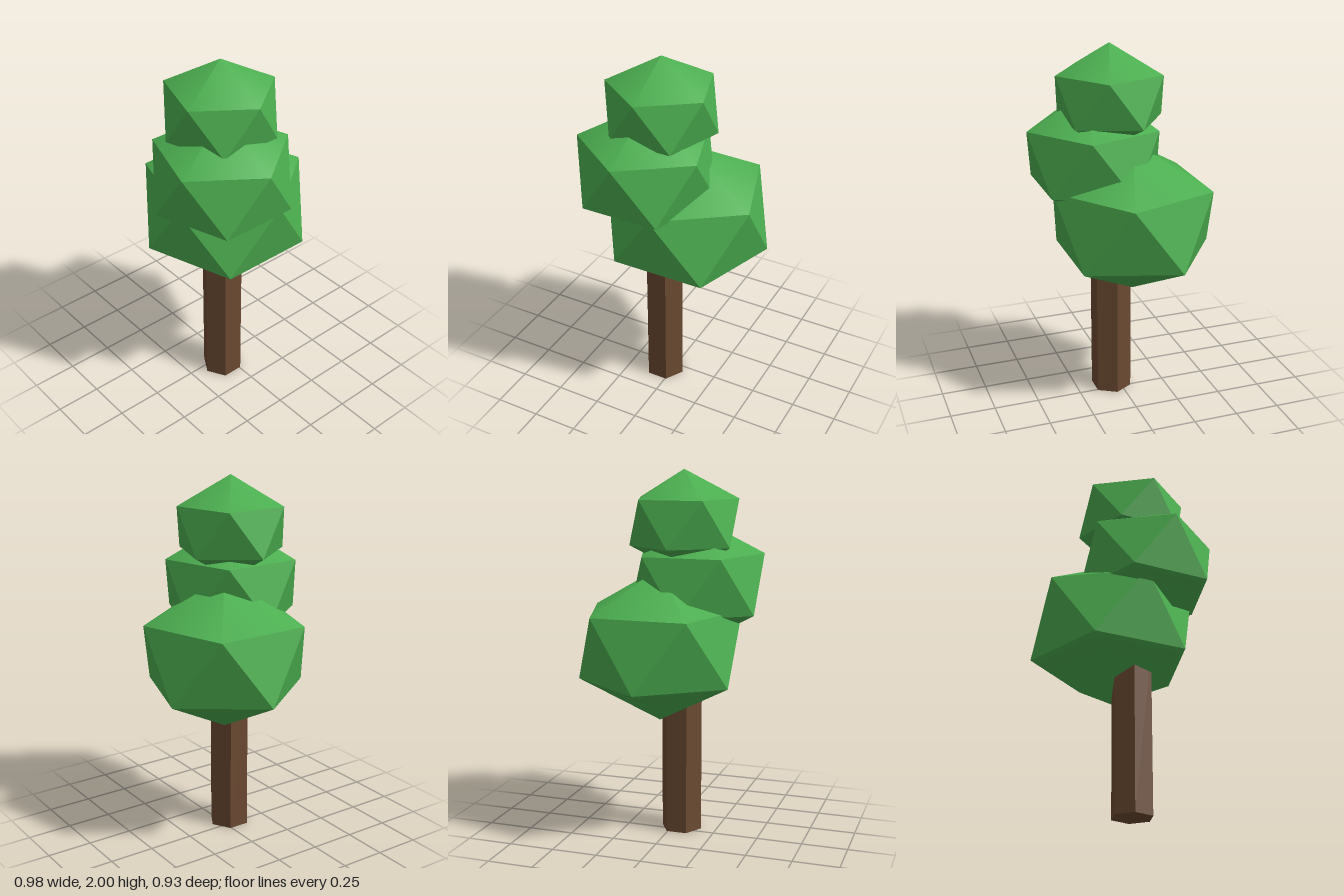
import * as THREE from 'three';
import { toCreasedNormals } from 'three/addons/utils/BufferGeometryUtils.js';

// Flattened icosahedron standing on one vertex: two offset five-sided rings and two tips.
// Creasing at 40 degrees keeps the side facets sharp and the shallow caps smooth.
function crownGeometry(ringRadius) {
  const squash = 0.85;
  const tipY = ringRadius * Math.sqrt(5) / 2 * squash;
  const ringY = ringRadius / 2 * squash;
  const ring = (y, offset) => Array.from({ length: 5 }, (_, i) => {
    const a = (i + offset) * Math.PI * 2 / 5;
    return [ringRadius * Math.cos(a), y, ringRadius * Math.sin(a)];
  });
  const upper = ring(ringY, 0);
  const lower = ring(-ringY, 0.5);
  const top = [0, tipY, 0];
  const bottom = [0, -tipY, 0];

  const corners = [];
  for (let i = 0; i < 5; i++) {
    const j = (i + 1) % 5;
    corners.push(
      top, upper[j], upper[i],
      upper[i], upper[j], lower[i],
      upper[j], lower[j], lower[i],
      bottom, lower[i], lower[j],
    );
  }
  const geometry = new THREE.BufferGeometry();
  geometry.setAttribute('position', new THREE.Float32BufferAttribute(corners.flat(), 3));
  return toCreasedNormals(geometry, THREE.MathUtils.degToRad(40));
}

export function createModel() {
  const leafGreen = new THREE.MeshStandardMaterial({ color: 0x4caf50 });
  leafGreen.name = 'leaf green';
  const barkBrown = new THREE.MeshStandardMaterial({ color: 0x6b4a32 });
  barkBrown.name = 'bark brown';

  const tree = new THREE.Group();
  tree.name = 'tree';

  // Six-sided trunk, its top hidden inside the lowest crown
  const trunkHeight = 0.9;
  const trunk = new THREE.Mesh(
    toCreasedNormals(new THREE.CylinderGeometry(0.114, 0.114, trunkHeight, 6), 0.5),
    barkBrown,
  );
  trunk.name = 'trunk';
  trunk.position.set(0.047, trunkHeight / 2, 0.051);
  tree.add(trunk);

  // Three stacked crowns, each shifted off the trunk axis
  const crowns = [
    { name: 'lowerCrown', radius: 0.442, position: [-0.047, 1.0625, -0.045] },
    { name: 'middleCrown', radius: 0.366, position: [0.121, 1.3925, 0.1125] },
    { name: 'upperCrown', radius: 0.294, position: [0.047, 1.72, 0.06] },
  ];
  for (const { name, radius, position } of crowns) {
    const crown = new THREE.Mesh(crownGeometry(radius), leafGreen);
    crown.name = name;
    crown.position.set(...position);
    tree.add(crown);
  }
  return tree;
}
